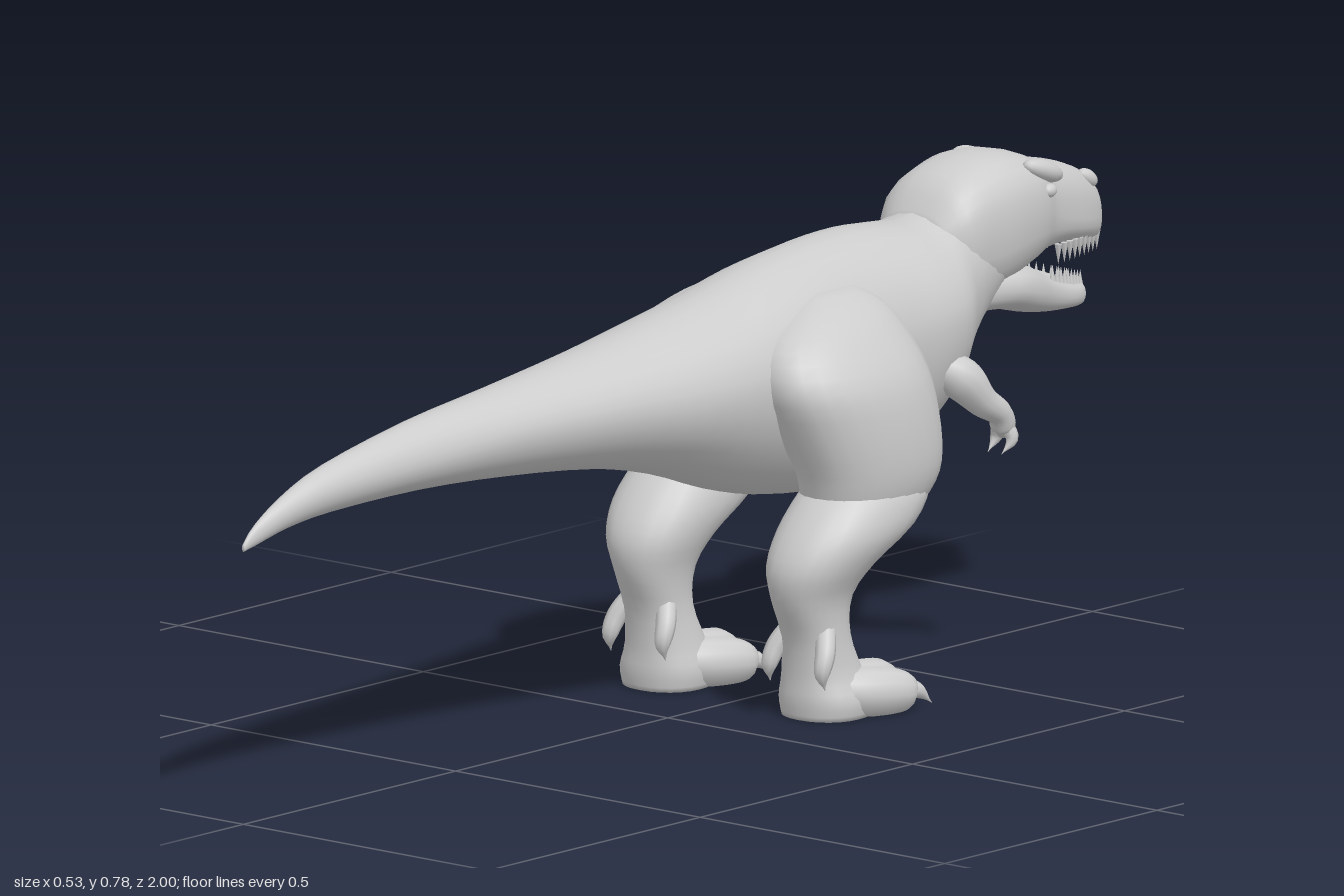
import * as THREE from 'three';
import { mergeVertices } from 'three/addons/utils/BufferGeometryUtils.js';

const skin = new THREE.MeshStandardMaterial({ color: 0xcccccc });
skin.name = 'grey skin';

function mesh(name, geometry) {
  const m = new THREE.Mesh(geometry, skin);
  m.name = name;
  return m;
}

// Value of every column of a section table at t (0..1), smoothly interpolated
function sample(sections, t) {
  const last = sections.length - 1;
  const f = t * last, i = Math.min(Math.floor(f), last - 1), u = f - i;
  const at = (n) => sections[Math.max(0, Math.min(last, n))];
  return sections[0].map((_, c) => {
    const a = at(i - 1)[c], b = at(i)[c], d = at(i + 1)[c], e = at(i + 2)[c];
    return b + 0.5 * u * (d - a + u * (2 * a - 5 * b + 4 * d - e + u * (3 * (b - d) + e - a)));
  });
}

// Closed skin through interpolated rings; ring(section, angle) gives a point
function loft(sections, ring, sides = 24, perSpan = 3) {
  const rows = (sections.length - 1) * perSpan, pos = [], index = [];
  for (let r = 0; r <= rows; r++) {
    const s = sample(sections, r / rows);
    for (let j = 0; j < sides; j++) pos.push(...ring(s, (j / sides) * Math.PI * 2));
  }
  for (let r = 0; r < rows; r++) {
    for (let j = 0; j < sides; j++) {
      const a = r * sides + j, b = r * sides + (j + 1) % sides;
      index.push(a, b, b + sides, a, b + sides, a + sides);
    }
  }
  // end caps
  for (const r of [0, rows]) {
    const c = [0, 0, 0];
    for (let j = 0; j < sides; j++) for (let k = 0; k < 3; k++) c[k] += pos[(r * sides + j) * 3 + k] / sides;
    const centre = pos.length / 3;
    pos.push(...c);
    for (let j = 0; j < sides; j++) {
      const a = r * sides + j, b = r * sides + (j + 1) % sides;
      index.push(...(r === 0 ? [centre, b, a] : [centre, a, b]));
    }
  }
  // turn the faces outwards when the enclosed volume is negative
  const p = (i) => new THREE.Vector3().fromArray(pos, i * 3);
  let volume = 0;
  for (let i = 0; i < index.length; i += 3) volume += p(index[i]).dot(p(index[i + 1]).cross(p(index[i + 2])));
  if (volume < 0) index.reverse();
  const g = new THREE.BufferGeometry();
  g.setAttribute('position', new THREE.Float32BufferAttribute(pos, 3));
  g.setIndex(index);
  g.computeVertexNormals();
  return g;
}

// Rounded power curve: k > 1 is more pointed, k < 1 is boxier
const pow = (v, k) => Math.sign(v) * Math.abs(v) ** k;
// Upright section: [z, top, middle, bottom, halfWidth]
const upright = (k) => ([z, top, mid, bot, w], a) => {
  const s = pow(Math.sin(a), k);
  return [w * pow(Math.cos(a), k), mid + s * (s > 0 ? top - mid : mid - bot), z];
};

// Tapered round limb through points [x, y, z, radius], kept above the floor
function limb(points, sides = 12) {
  const segs = (points.length - 1) * 5;
  const curve = new THREE.CatmullRomCurve3(points.map(([x, y, z]) => new THREE.Vector3(x, y, z)));
  const g = new THREE.TubeGeometry(curve, segs, 1, sides);
  const pos = g.attributes.position, v = new THREE.Vector3();
  for (let i = 0; i < pos.count; i++) {
    const u = Math.floor(i / (sides + 1)) / segs, c = curve.getPointAt(u);
    const r = Math.max(0.0005, sample(points, curve.getUtoTmapping(u))[3]);
    v.fromBufferAttribute(pos, i).sub(c).multiplyScalar(r).add(c);
    pos.setXYZ(i, v.x, Math.max(0, v.y), v.z);
  }
  g.deleteAttribute('uv');
  g.deleteAttribute('normal');
  const merged = mergeVertices(g, 1e-5);
  merged.computeVertexNormals();
  return merged;
}

function ellipsoid(name, x, y, z, rx, ry, rz, tilt = 0) {
  const m = mesh(name, new THREE.SphereGeometry(1, 16, 10));
  m.position.set(x, y, z);
  m.scale.set(rx, ry, rz);
  m.rotation.x = tilt;
  return m;
}

function makeLeg(s) {
  const leg = new THREE.Group();
  leg.name = s > 0 ? 'leftLeg' : 'rightLeg';
  // sections: [y, inner x, outer x, front z, back z]
  const ring = ([y, xi, xo, zf, zb], a) => [
    s * ((xi + xo) / 2 + (xo - xi) / 2 * pow(Math.cos(a), 0.9)), y,
    (zf + zb) / 2 + (zb - zf) / 2 * pow(Math.sin(a), 0.9)];
  leg.add(mesh('thigh', loft([
    [0.645, 0.06, 0.11, -0.33, -0.24], [0.62, 0.05, 0.16, -0.365, -0.17],
    [0.58, 0.05, 0.203, -0.387, -0.10], [0.52, 0.05, 0.243, -0.405, -0.08],
    [0.45, 0.06, 0.256, -0.415, -0.11], [0.38, 0.08, 0.257, -0.413, -0.145],
    [0.33, 0.085, 0.245, -0.39, -0.16], [0.28, 0.11, 0.22, -0.33, -0.18]], ring)));
  leg.add(mesh('shin', loft([
    [0.37, 0.10, 0.23, -0.36, -0.19], [0.34, 0.085, 0.25, -0.385, -0.15],
    [0.29, 0.08, 0.256, -0.345, -0.105], [0.24, 0.09, 0.238, -0.265, -0.08],
    [0.19, 0.105, 0.216, -0.222, -0.085], [0.13, 0.109, 0.213, -0.215, -0.11],
    [0.07, 0.10, 0.22, -0.24, -0.117], [0.03, 0.09, 0.235, -0.255, -0.116],
    [0, 0.095, 0.23, -0.25, -0.12]], ring)));
  // three spread toes, each with a claw
  for (const [side, reach] of [[-1, 0.265], [0, 0.30], [1, 0.265]]) {
    const x = s * 0.163, d = side;
    leg.add(mesh('toe', limb([
      [x + d * 0.01, 0.045, -0.15, 0.03], [x + d * 0.045, 0.036, -0.21, 0.04],
      [x + d * 0.069, 0.032, -reach, 0.036], [x + d * 0.076, 0.027, -reach - 0.03, 0.024],
      [x + d * 0.08, 0.024, -reach - 0.038, 0]])));
    leg.add(mesh('toeClaw', limb([
      [x + d * 0.07, 0.035, -reach - 0.005, 0.018], [x + d * 0.082, 0.028, -reach - 0.04, 0.013],
      [x + d * 0.09, 0.006, -reach - 0.065, 0]], 8)));
    // small spur claws on both sides of the ankle
    if (d) leg.add(mesh('spurClaw', limb([
      [x + d * 0.03, 0.15, -0.15, 0.016], [x + d * 0.05, 0.11, -0.125, 0.016],
      [x + d * 0.054, 0.08, -0.113, 0.012], [x + d * 0.056, 0.055, -0.118, 0]], 8)));
  }
  return leg;
}

function makeArm(s) {
  const arm = new THREE.Group();
  arm.name = s > 0 ? 'leftArm' : 'rightArm';
  arm.add(mesh('armLimb', limb([
    [s * 0.105, 0.49, -0.50, 0.025], [s * 0.13, 0.465, -0.54, 0.034], [s * 0.145, 0.425, -0.575, 0.025],
    [s * 0.15, 0.40, -0.61, 0.02], [s * 0.145, 0.375, -0.622, 0.019], [s * 0.143, 0.36, -0.622, 0.004]])));
  for (const d of [-1, 1]) arm.add(mesh('fingerClaw', limb([
    [s * 0.145 + d * 0.006, 0.385, -0.62, 0.011], [s * 0.145 + d * 0.016, 0.36, -0.625, 0.01],
    [s * 0.143 + d * 0.014, 0.338, -0.605, 0]], 8)));
  return arm;
}

function makeHead() {
  const head = new THREE.Group();
  head.name = 'head';
  head.add(mesh('skull', loft([
    [-0.57, 0.69, 0.65, 0.60, 0.06], [-0.61, 0.745, 0.66, 0.565, 0.093], [-0.67, 0.771, 0.67, 0.555, 0.10],
    [-0.73, 0.777, 0.68, 0.565, 0.102], [-0.79, 0.767, 0.68, 0.585, 0.094], [-0.83, 0.75, 0.665, 0.60, 0.078],
    [-0.88, 0.738, 0.65, 0.605, 0.066], [-0.93, 0.722, 0.64, 0.60, 0.055], [-0.97, 0.698, 0.635, 0.595, 0.042],
    [-0.99, 0.672, 0.63, 0.597, 0.028], [-1, 0.645, 0.625, 0.605, 0.012]], upright(0.8))));
  head.add(mesh('lowerJaw', loft([
    [-0.66, 0.61, 0.57, 0.53, 0.07], [-0.73, 0.605, 0.565, 0.528, 0.088], [-0.79, 0.595, 0.55, 0.513, 0.078],
    [-0.845, 0.568, 0.535, 0.502, 0.06], [-0.90, 0.547, 0.52, 0.497, 0.046],
    [-0.945, 0.535, 0.515, 0.495, 0.033], [-0.965, 0.53, 0.515, 0.502, 0.014]], upright(0.8))));
  head.add(ellipsoid('tongue', 0, 0.553, -0.86, 0.03, 0.012, 0.07, -0.3));
  for (const s of [-1, 1]) {
    head.add(ellipsoid('brow', s * 0.072, 0.742, -0.80, 0.02, 0.017, 0.045, -0.35));
    head.add(ellipsoid('eye', s * 0.085, 0.712, -0.80, 0.011, 0.011, 0.014));
    head.add(ellipsoid('nostrilRidge', s * 0.028, 0.698, -0.955, 0.014, 0.013, 0.022, -0.6));
    // teeth along both jaws
    for (let i = 0; i < 9; i++) {
      const t = i / 8;
      const upper = mesh('upperTooth', new THREE.ConeGeometry(0.006, 0.032, 6));
      upper.position.set(s * (0.056 - 0.036 * t ** 1.4), 0.598 - 0.004 * t, -0.855 - 0.132 * t);
      upper.rotation.x = Math.PI;
      const lower = mesh('lowerTooth', new THREE.ConeGeometry(0.005, 0.026, 6));
      lower.position.set(s * (0.044 - 0.03 * t ** 1.4), 0.567 - 0.029 * t, -0.855 - 0.10 * t);
      head.add(upper, lower);
    }
  }
  return head;
}

export function createModel() {
  const model = new THREE.Group();
  model.name = 'dinosaur';
  // tail, torso and neck as one tapering skin
  model.add(mesh('body', loft([
    [1, 0.443, 0.437, 0.431, 0.003], [0.97, 0.47, 0.453, 0.437, 0.009], [0.9, 0.505, 0.48, 0.452, 0.02],
    [0.8, 0.537, 0.50, 0.461, 0.033], [0.6, 0.572, 0.515, 0.462, 0.054], [0.4, 0.592, 0.525, 0.45, 0.077],
    [0.2, 0.614, 0.525, 0.428, 0.106], [0.05, 0.636, 0.52, 0.395, 0.13], [-0.08, 0.658, 0.52, 0.35, 0.142],
    [-0.2, 0.685, 0.52, 0.32, 0.145], [-0.32, 0.702, 0.52, 0.308, 0.142], [-0.42, 0.706, 0.54, 0.318, 0.142],
    [-0.5, 0.70, 0.55, 0.345, 0.147], [-0.56, 0.697, 0.56, 0.378, 0.138], [-0.61, 0.715, 0.58, 0.425, 0.11],
    [-0.66, 0.735, 0.61, 0.485, 0.093], [-0.72, 0.73, 0.63, 0.545, 0.08], [-0.76, 0.69, 0.64, 0.59, 0.04]],
  upright(1.05), 28)));
  model.add(makeHead());
  for (const s of [1, -1]) model.add(makeLeg(s), makeArm(s));
  return model;
}
